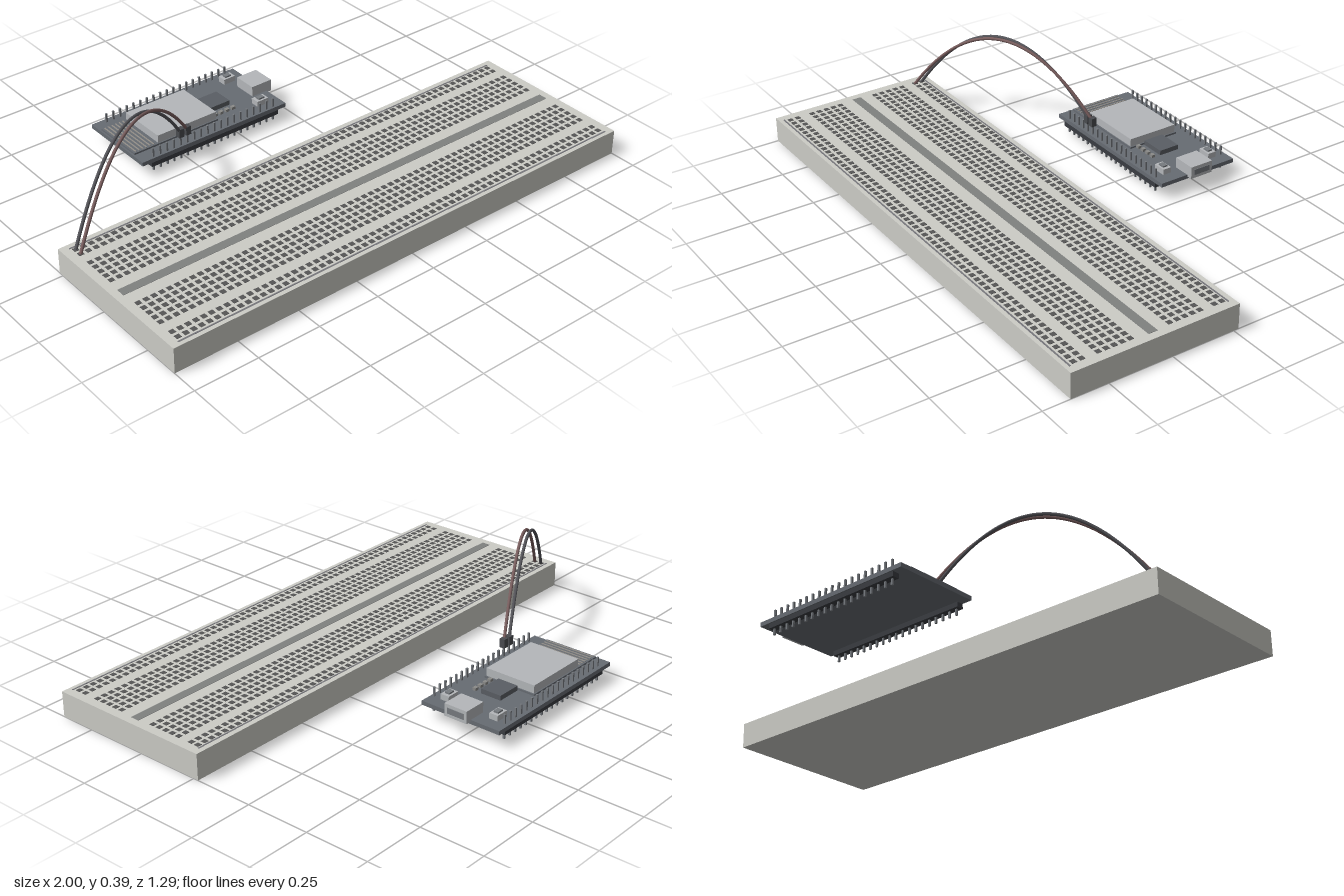
import * as THREE from 'three';
import { mergeGeometries } from 'three/addons/utils/BufferGeometryUtils.js';

const mat = (color) => new THREE.MeshStandardMaterial({ color });

// Box given by its min and max on each axis
function span(x0, x1, y0, y1, z0, z1) {
  return new THREE.BoxGeometry(x1 - x0, y1 - y0, z1 - z0)
    .translate((x0 + x1) / 2, (y0 + y1) / 2, (z0 + z1) / 2);
}

// Box given by its centre on the ground plane, footprint and height range
const block = (x, z, w, d, y0, y1) =>
  span(x - w / 2, x + w / 2, y0, y1, z - d / 2, z + d / 2);

function add(group, name, geometries, material) {
  const list = Array.isArray(geometries) ? geometries : [geometries];
  const mesh = new THREE.Mesh(list.length > 1 ? mergeGeometries(list) : list[0], material);
  mesh.name = name;
  group.add(mesh);
  return mesh;
}

const PITCH = 0.0308;
const PIN_Z = [-0.323, -0.628];
const PIN_X0 = -0.402;

function createBreadboard() {
  const g = new THREE.Group();
  g.name = 'breadboard';
  add(g, 'breadboardBody', span(-1, 1, 0, 0.099, -0.02, 0.645), mat(0xccccc6));
  add(g, 'centreGroove', span(-0.97, 0.97, 0.097, 0.1, 0.29, 0.326), mat(0x808280));

  // Contact holes: two rails, two banks of five rows, two rails
  const rows = [0.02, 0.05, 0.574, 0.605];
  for (let i = 0; i < 5; i++) rows.push(0.11 + i * PITCH, 0.388 + i * PITCH);
  const holes = [];
  for (const z of rows)
    for (let c = -31; c <= 31; c++) holes.push(block(c * PITCH, z, 0.019, 0.019, 0.097, 0.1));
  add(g, 'contactHoles', holes, mat(0x555555));

  // Thin marking lines beside the rails
  add(g, 'railLines', [0.003, 0.626].map((z) => block(0, z, 1.94, 0.006, 0.097, 0.1)), mat(0x77777c));
  return g;
}

function createController() {
  const g = new THREE.Group();
  g.name = 'controllerBoard';
  const dark = mat(0x3a3d42), metal = mat(0xb4b7ba), steel = mat(0x777b80);
  add(g, 'circuitBoard', span(-0.457, 0.206, 0.053, 0.069, -0.646, -0.311), mat(0x676c73));

  // Pin headers
  const pins = [];
  for (const z of PIN_Z)
    for (let i = 0; i < 19; i++) pins.push(block(PIN_X0 + i * PITCH, z, 0.007, 0.007, 0.012, 0.105));
  add(g, 'headerPins', pins, steel);
  add(g, 'headerStrips', PIN_Z.map((z) => block(PIN_X0 + 9 * PITCH, z, 19 * PITCH, 0.027, 0.035, 0.053)), dark);

  // Radio module: carrier, shield and antenna traces
  add(g, 'moduleCarrier', span(-0.45, -0.07, 0.069, 0.076, -0.59, -0.372), mat(0x676c73));
  add(g, 'moduleShield', span(-0.342, -0.075, 0.076, 0.107, -0.585, -0.377), metal);
  const traces = [];
  for (let i = 0; i < 6; i++) traces.push(block(-0.44 + i * 0.016, -0.481, 0.005, 0.205, 0.075, 0.078));
  add(g, 'antennaTraces', traces, mat(0x94908a));

  // Chip and small components
  add(g, 'chip', span(-0.067, 0.032, 0.069, 0.088, -0.52, -0.436), mat(0x5a5e64));
  add(g, 'smallComponents',
    [0, 1, 2, 3].map((i) => block(-0.06 + i * 0.028, -0.405, 0.016, 0.014, 0.069, 0.08)), mat(0x8a8a88));

  // Two push buttons
  const bodies = [], caps = [];
  for (const z of [-0.584, -0.373]) {
    bodies.push(block(0.131, z, 0.052, 0.036, 0.069, 0.091));
    caps.push(block(0.131, z, 0.026, 0.02, 0.09, 0.097));
  }
  add(g, 'buttonBodies', bodies, metal);
  add(g, 'buttonCaps', caps, steel);

  // Cable socket with its dark mouth
  add(g, 'cableSocket', span(0.137, 0.229, 0.062, 0.11, -0.525, -0.429), metal);
  add(g, 'socketMouth', span(0.2, 0.231, 0.075, 0.097, -0.512, -0.442), steel);
  return g;
}

// Jumper wire arching from a breadboard hole up and over to a header pin
function createJumper(startZ, pin, color) {
  const g = new THREE.Group();
  g.name = 'jumperWire';
  const start = new THREE.Vector3(-0.955, 0.098, startZ);
  const end = new THREE.Vector3(PIN_X0 + pin * PITCH, 0.125, PIN_Z[0]);
  const control = start.clone().add(end).multiplyScalar(0.5).setY(0.65);
  const curve = new THREE.QuadraticBezierCurve3(start, control, end);
  add(g, 'wire', new THREE.TubeGeometry(curve, 48, 0.006, 8, false), mat(color));
  add(g, 'plugHousing', block(end.x, end.z, 0.022, 0.022, 0.106, 0.141), mat(0x4a4c50));
  return g;
}

export function createModel() {
  const model = new THREE.Group();
  model.name = 'breadboardSetup';
  model.add(createBreadboard(), createController());
  model.add(createJumper(0.02, 4, 0x55555a), createJumper(0.05, 5, 0x7a5f5f));
  return model;
}
